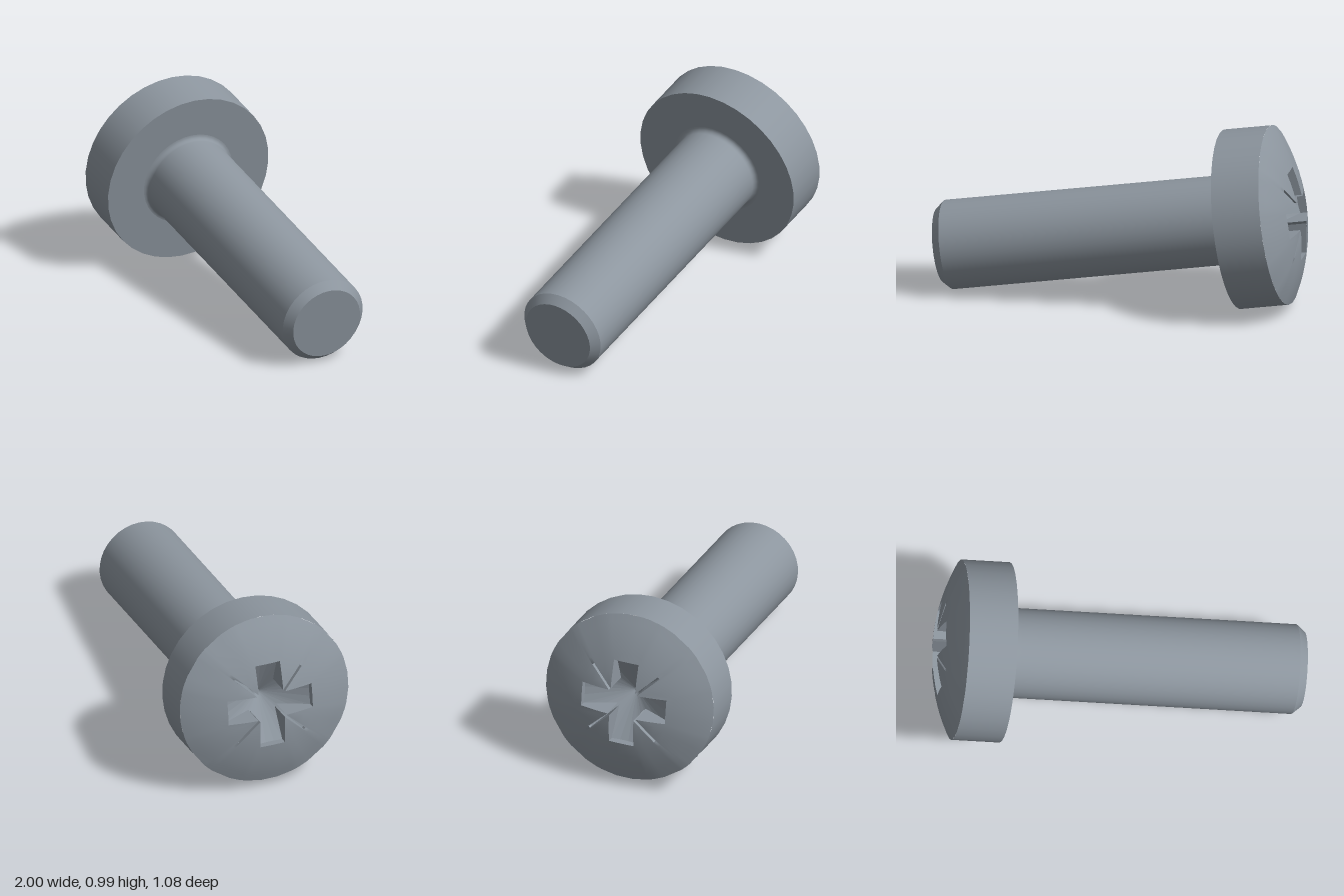
import * as THREE from 'three';

// Local frame: origin at the centre of the head's underside, +y out through the dome
const HEAD_R = 0.48, RIM_Y = 0.26, DOME_H = 0.12, SPHERE_R = 1.02;
const SHAFT_R = 0.239, LENGTH = 1.6;

const domeY = r => RIM_Y + DOME_H - SPHERE_R + Math.sqrt(SPHERE_R * SPHERE_R - r * r);
const floorY = r => 0.16 + 0.6 * r;

// Outline of the cross recess with four thin diagonal ticks, as points around the axis
function recessOutline() {
  const arm = 0.24, w = 0.07, t = 0.007, tip = 0.265, q = Math.SQRT1_2;
  const corners = [
    [arm, -w], [arm, w], [w + t / q, w],
    [(tip + t) * q, (tip - t) * q], [(tip - t) * q, (tip + t) * q], [w, w + t / q],
  ];
  const splits = [3, 3, 1, 1, 1, 3];
  const loop = [];
  for (let k = 0; k < 4; k++) {
    const turn = ([x, z]) => {
      for (let i = 0; i < k; i++) [x, z] = [-z, x];
      return [x, z];
    };
    corners.forEach((a, i) => {
      const b = i < 5 ? corners[i + 1] : [w, arm];
      for (let s = 0; s < splits[i]; s++) {
        const f = s / splits[i];
        loop.push(turn([a[0] + (b[0] - a[0]) * f, a[1] + (b[1] - a[1]) * f]));
      }
    });
  }
  return loop.map(([x, z]) => ({ a: Math.atan2(z, x), r: Math.hypot(x, z) }));
}

// Skin a list of rings, ordered from outside to inside
function skin(rings, flat) {
  const n = rings[0].length, index = [];
  for (let j = 0; j < rings.length - 1; j++) {
    for (let i = 0; i < n; i++) {
      const A = j * n + i, A1 = j * n + (i + 1) % n;
      index.push(A1, A, A + n, A1, A + n, A1 + n);
    }
  }
  let geo = new THREE.BufferGeometry();
  geo.setAttribute('position', new THREE.Float32BufferAttribute(rings.flat(2), 3));
  geo.setIndex(index);
  if (flat) geo = geo.toNonIndexed();
  geo.computeVertexNormals();
  return geo;
}

export function createModel() {
  const steel = new THREE.MeshStandardMaterial({ color: 0x8d969f });
  steel.name = 'steel grey';

  const screw = new THREE.Group();
  screw.name = 'screw';
  const add = (name, geo) => {
    const mesh = new THREE.Mesh(geo, steel);
    mesh.name = name;
    screw.add(mesh);
  };
  const turned = (name, profile, sides) =>
    add(name, new THREE.LatheGeometry(profile.map(p => new THREE.Vector2(...p)), sides));

  // Shank: separate turned pieces keep the edges sharp
  turned('tipFace', [[0, -LENGTH], [0.2, -LENGTH]], 36);
  turned('tipChamfer', [[0.2, -LENGTH], [SHAFT_R, -LENGTH + 0.045]], 36);
  const fillet = 0.026, shank = [[SHAFT_R, -LENGTH + 0.045], [SHAFT_R, -0.06]];
  for (let i = 0; i <= 5; i++) {
    const a = (i / 5) * Math.PI / 2;
    shank.push([SHAFT_R + fillet * (1 - Math.cos(a)), -fillet + fillet * Math.sin(a)]);
  }
  turned('shank', shank, 36);

  // Head
  turned('headUnderside', [[SHAFT_R + fillet, 0], [HEAD_R, 0]], 36);
  turned('headSide', [[HEAD_R, 0], [HEAD_R, RIM_Y]], 36);

  // Dome with the recess cut into it
  const outline = recessOutline();
  const ring = (radius, height) => outline.map(p => {
    const r = radius(p.r);
    return [r * Math.cos(p.a), height(r), r * Math.sin(p.a)];
  });
  const dome = [];
  for (let j = 0; j <= 6; j++) dome.push(ring(r => HEAD_R + (r - HEAD_R) * j / 6, domeY));
  add('headDome', skin(dome, false));
  add('recessWalls', skin([ring(r => r, domeY), ring(r => r, floorY)], true));
  add('recessFloor', skin([ring(r => r, floorY), ring(r => r * 0.03, floorY)], true));
  add('recessBottom', new THREE.CircleGeometry(0.012, 8).rotateX(-Math.PI / 2).translate(0, 0.165, 0));

  // Tilt the axis into place
  const yAxis = new THREE.Vector3(-0.966, 0.153, -0.209).normalize();
  const xAxis = new THREE.Vector3(0, 1, 0).addScaledVector(yAxis, -yAxis.y).normalize();
  const zAxis = new THREE.Vector3().crossVectors(xAxis, yAxis);
  screw.quaternion.setFromRotationMatrix(new THREE.Matrix4().makeBasis(xAxis, yAxis, zAxis));
  screw.position.set(-0.6, 0.48, -0.02);

  const model = new THREE.Group();
  model.name = 'machineScrew';
  model.add(screw);
  return model;
}
